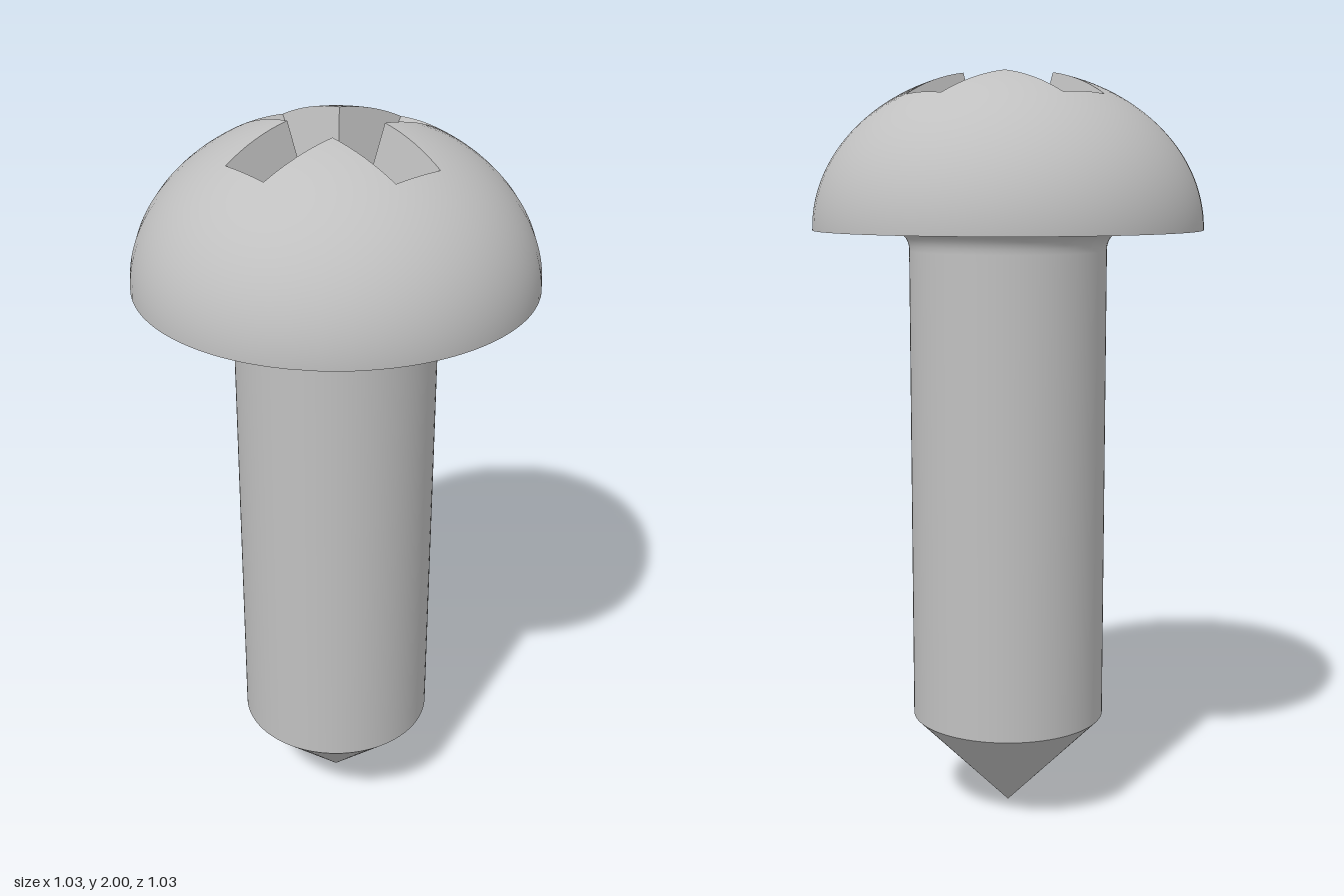
import * as THREE from 'three';

const HEAD_R = 0.515;   // head radius
const HEAD_H = 0.415;   // dome height
const HEAD_Y = 1.595;   // underside of the head
const SHANK_R = 0.262;
const APEX_Y = 1.55;    // deepest point of the drive recess
const SEGMENTS = 96;

// Point where a ray from the recess apex through p meets the dome
function castToDome(p) {
  const apex = new THREE.Vector3(0, APEX_Y, 0);
  const d = p.clone().sub(apex);
  const e = APEX_Y - HEAD_Y, a2 = HEAD_R ** 2, b2 = HEAD_H ** 2;
  const A = (d.x * d.x + d.z * d.z) / a2 + d.y * d.y / b2;
  const B = e * d.y / b2;
  const C = e * e / b2 - 1;
  return apex.addScaledVector(d, (-B + Math.sqrt(B * B - A * C)) / A);
}

// Cross-shaped rim of the recess lying on the dome: one arm turned four times
function recessRim(steps) {
  const arm = [[0.081, -0.084], [0.281, -0.08], [0.284, 0.061]];
  const corners = [];
  for (let q = 0; q < 4; q++) {
    for (let [x, z] of arm) {
      for (let i = 0; i < q; i++) [x, z] = [-z, x];
      const y = HEAD_Y + HEAD_H * Math.sqrt(1 - (x * x + z * z) / HEAD_R ** 2);
      corners.push(new THREE.Vector3(x, y, z));
    }
  }
  const rim = [];
  corners.forEach((c, k) => {
    const next = corners[(k + 1) % corners.length];
    for (let i = 0; i < steps; i++) rim.push(castToDome(c.clone().lerp(next, i / steps)));
  });
  return rim;
}

// Smooth dome swept from the recess rim down to the head edge
function domeGeometry(rim, rings) {
  const pos = [], nor = [], index = [], n = rim.length;
  for (let j = 0; j <= rings; j++) {
    for (const p of rim) {
      const angle = Math.atan2(p.z, p.x);
      const start = Math.asin(Math.hypot(p.x, p.z) / HEAD_R);
      const phi = THREE.MathUtils.lerp(start, Math.PI / 2, j / rings);
      const r = HEAD_R * Math.sin(phi), h = HEAD_H * Math.cos(phi);
      const x = r * Math.cos(angle), z = r * Math.sin(angle);
      pos.push(x, HEAD_Y + h, z);
      const m = new THREE.Vector3(x / HEAD_R ** 2, h / HEAD_H ** 2, z / HEAD_R ** 2).normalize();
      nor.push(m.x, m.y, m.z);
    }
  }
  for (let j = 0; j < rings; j++) {
    for (let i = 0; i < n; i++) {
      const a = j * n + i, b = j * n + (i + 1) % n, c = a + n, d = b + n;
      index.push(a, b, c, b, d, c);
    }
  }
  const g = new THREE.BufferGeometry();
  g.setAttribute('position', new THREE.Float32BufferAttribute(pos, 3));
  g.setAttribute('normal', new THREE.Float32BufferAttribute(nor, 3));
  g.setIndex(index);
  return g;
}

// Flat recess walls, all meeting at the apex
function recessGeometry(rim) {
  const pos = [];
  rim.forEach((p, i) => {
    const q = rim[(i + 1) % rim.length];
    pos.push(0, APEX_Y, 0, q.x, q.y, q.z, p.x, p.y, p.z);
  });
  const g = new THREE.BufferGeometry();
  g.setAttribute('position', new THREE.Float32BufferAttribute(pos, 3));
  g.computeVertexNormals();
  return g;
}

function lathe(points) {
  return new THREE.LatheGeometry(points.map(([r, y]) => new THREE.Vector2(r, y)), SEGMENTS);
}

export function createModel() {
  const group = new THREE.Group();
  group.name = 'screw';
  const steel = new THREE.MeshStandardMaterial({ color: 0xc0c0c0 });
  steel.name = 'steel grey';

  const add = (name, geometry) => {
    const mesh = new THREE.Mesh(geometry, steel);
    mesh.name = name;
    group.add(mesh);
  };

  // Head
  const rim = recessRim(8);
  add('headDome', domeGeometry(rim, 28));
  add('crossRecess', recessGeometry(rim));

  // Shank with a rounded fillet under the head
  const fillet = 0.05;
  const profile = [[SHANK_R, 0.265], [SHANK_R, HEAD_Y - fillet - 0.005]];
  for (let i = 0; i <= 8; i++) {
    const t = (i / 8) * Math.PI / 2;
    profile.push([SHANK_R + fillet * (1 - Math.cos(t)), HEAD_Y - fillet * (1 - Math.sin(t))]);
  }
  add('shank', lathe(profile));
  add('headUnderside', lathe([[SHANK_R + fillet, HEAD_Y], [HEAD_R, HEAD_Y]]));

  // Pointed tip
  add('tip', lathe([[0, 0], [SHANK_R, 0.265]]));

  return group;
}
